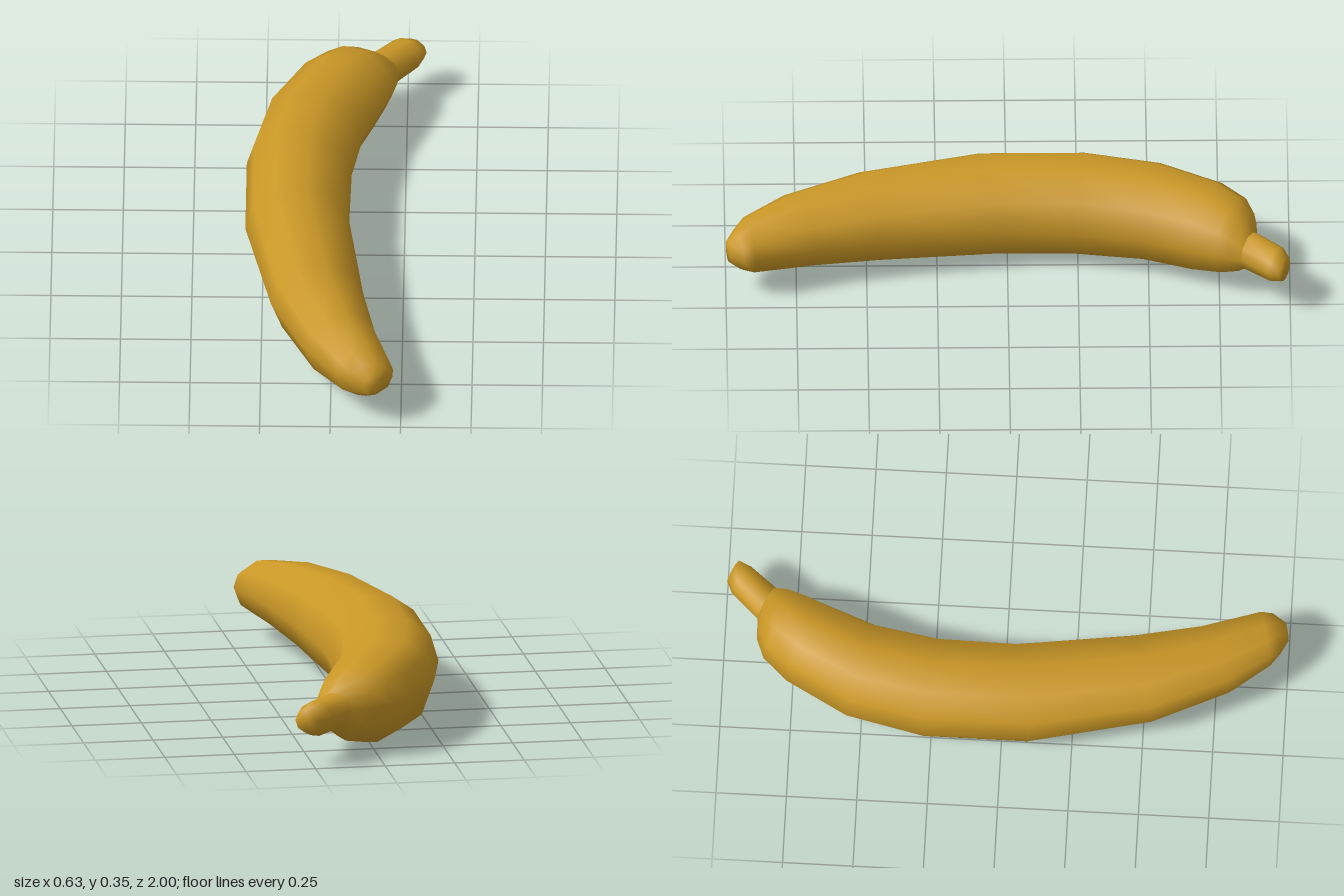
import * as THREE from 'three';

// Cross-section corners: angle in degrees and radius factor (0 = inner curve, 90 = up)
const SECTION = [[0, 1], [38, 1], [80, 1.01], [115, 1.04], [144, 1.07], [174, 1.02], [220, 1], [256, 1], [284, 1], [322, 1]];

// Each ring: outer edge x, z; inner edge x, z; lowest y, highest y
const BODY = [
  [0.12, 1.0, 0.185, 0.985, 0.145, 0.225],
  [0.07, 0.975, 0.22, 0.935, 0.115, 0.255],
  [0.02, 0.94, 0.222, 0.895, 0.09, 0.285],
  [-0.09, 0.8, 0.155, 0.68, 0.055, 0.315],
  [-0.215, 0.53, 0.11, 0.45, 0.03, 0.335],
  [-0.31, 0.1, 0.055, 0.03, 0.003, 0.358],
  [-0.31, -0.28, 0.06, -0.24, 0.003, 0.358],
  [-0.25, -0.55, 0.1, -0.47, 0.012, 0.35],
  [-0.13, -0.77, 0.165, -0.64, 0.02, 0.342],
  [-0.05, -0.855, 0.2, -0.73, 0.045, 0.32],
  [0.02, -0.882, 0.215, -0.775, 0.075, 0.29],
  [0.1, -0.885, 0.22, -0.825, 0.115, 0.245],
];
const STEM = [
  BODY[BODY.length - 1],
  [0.19, -0.98, 0.298, -0.92, 0.115, 0.243],
  [0.235, -1.0, 0.316, -0.96, 0.135, 0.222],
];

// Smooth skin through the rings, with optional caps at the first and last ring
function loft(rings, capStart, capEnd) {
  const n = SECTION.length;
  const pos = [];
  const index = [];
  for (const [ox, oz, ix, iz, y0, y1] of rings) {
    for (const [deg, f] of SECTION) {
      const a = THREE.MathUtils.degToRad(deg);
      const c = Math.cos(a) * f / 2;
      pos.push(
        (ox + ix) / 2 + (ix - ox) * c,
        (y0 + y1) / 2 + THREE.MathUtils.clamp(Math.sin(a) * f, -1, 1) * (y1 - y0) / 2,
        (oz + iz) / 2 + (iz - oz) * c
      );
    }
  }
  for (let r = 0; r < rings.length - 1; r++) {
    for (let i = 0; i < n; i++) {
      const a = r * n + i;
      const b = r * n + (i + 1) % n;
      index.push(a, a + n, b, b, a + n, b + n);
    }
  }
  const cap = (r, flip) => {
    const [ox, oz, ix, iz, y0, y1] = rings[r];
    const centre = pos.length / 3;
    pos.push((ox + ix) / 2, (y0 + y1) / 2, (oz + iz) / 2);
    for (let i = 0; i < n; i++) {
      const a = r * n + i;
      const b = r * n + (i + 1) % n;
      index.push(centre, flip ? b : a, flip ? a : b);
    }
  };
  if (capStart) cap(0, false);
  if (capEnd) cap(rings.length - 1, true);
  const geometry = new THREE.BufferGeometry();
  geometry.setAttribute('position', new THREE.Float32BufferAttribute(pos, 3));
  geometry.setIndex(index);
  geometry.computeVertexNormals();
  return geometry;
}

export function createModel() {
  const peel = new THREE.MeshStandardMaterial({ color: 0xc99726 });
  peel.name = 'yellow peel';
  const group = new THREE.Group();
  group.name = 'banana';
  const add = (name, geometry) => {
    const mesh = new THREE.Mesh(geometry, peel);
    mesh.name = name;
    group.add(mesh);
  };
  // Curved fruit with its rounded tip
  add('fruitBody', loft(BODY, true, false));
  // Short stem with a blunt end
  add('stem', loft(STEM, false, true));
  return group;
}
